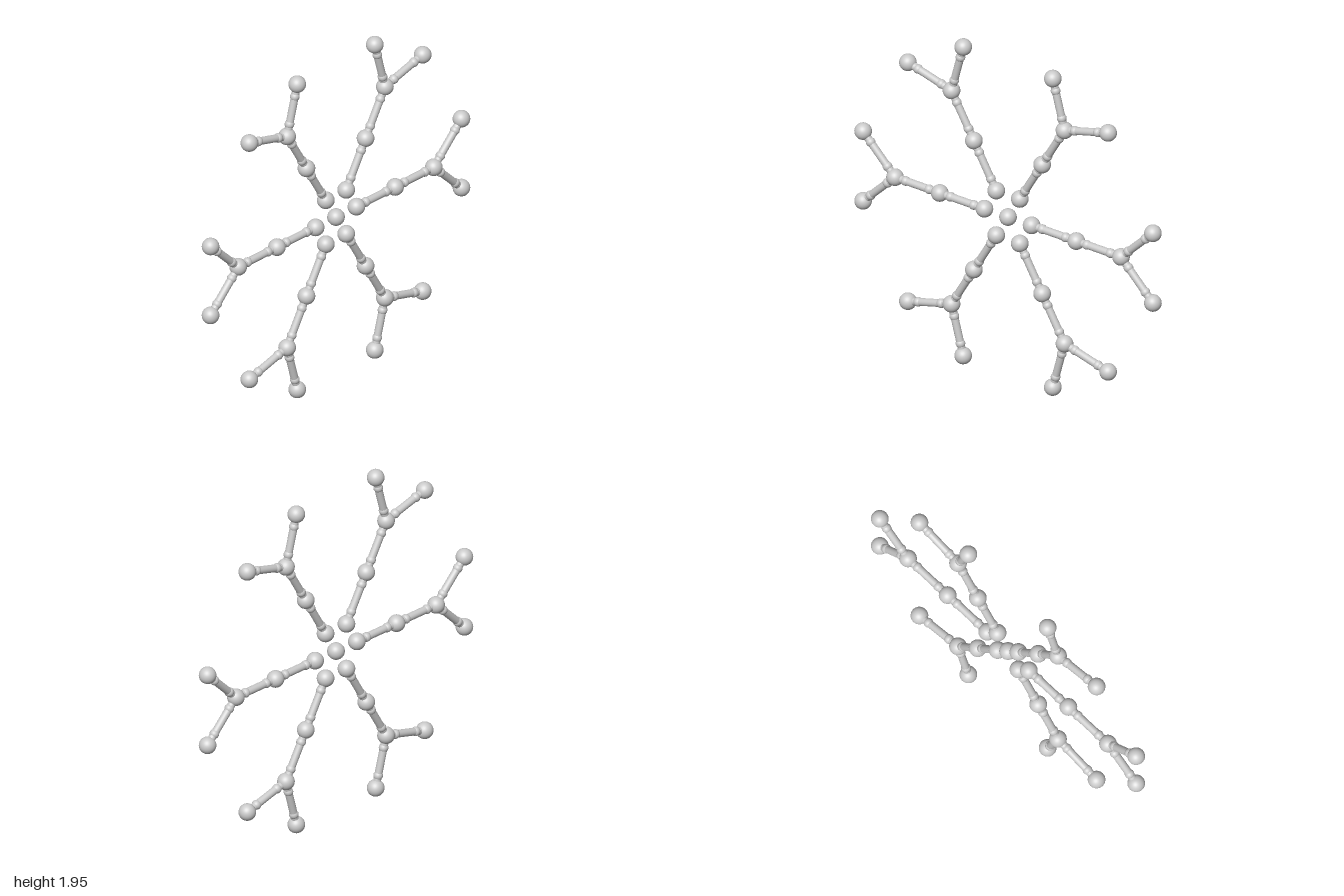
import * as THREE from 'three';

const BALL_R = 0.047, ROD_R = 0.021, JOINT_R = 0.026, JOINT_AT = 0.07;
const CENTRE_Y = 0.977;

export function createModel() {
  const material = new THREE.MeshStandardMaterial({ color: 0xcccccc });
  const ballGeo = new THREE.SphereGeometry(BALL_R, 32, 20);
  const jointGeo = new THREE.SphereGeometry(JOINT_R, 20, 14);

  function sphere(geometry, name, position, parent) {
    const mesh = new THREE.Mesh(geometry, material);
    mesh.name = name;
    mesh.position.copy(position);
    parent.add(mesh);
  }

  // Rod between two balls, with a small rounded collar near each end
  function rod(a, b, parent) {
    const dir = b.clone().sub(a);
    const length = dir.length();
    dir.normalize();
    const geometry = new THREE.CylinderGeometry(ROD_R, ROD_R, length - 0.06, 20);
    const mesh = new THREE.Mesh(geometry, material);
    mesh.name = 'rod';
    mesh.position.lerpVectors(a, b, 0.5);
    mesh.quaternion.setFromUnitVectors(new THREE.Vector3(0, 1, 0), dir);
    parent.add(mesh);
    sphere(jointGeo, 'rodCollar', a.clone().addScaledVector(dir, JOINT_AT), parent);
    sphere(jointGeo, 'rodCollar', b.clone().addScaledVector(dir, -JOINT_AT), parent);
  }

  const model = new THREE.Group();
  model.name = 'snowflake';
  const flake = new THREE.Group();
  flake.name = 'flake';
  flake.position.y = CENTRE_Y;
  model.add(flake);

  sphere(ballGeo, 'centreBall', new THREE.Vector3(), flake);

  // Six arms: inner, middle and fork balls, then two tips at 45 degrees
  const inner = new THREE.Vector3(0.155, 0, 0);
  const middle = new THREE.Vector3(0.449, 0, 0);
  const fork = new THREE.Vector3(0.743, 0, 0);
  for (let i = 0; i < 6; i++) {
    const arm = new THREE.Group();
    arm.name = 'arm';
    arm.rotation.z = (i * Math.PI) / 3;
    flake.add(arm);

    sphere(ballGeo, 'innerBall', inner, arm);
    sphere(ballGeo, 'middleBall', middle, arm);
    sphere(ballGeo, 'forkBall', fork, arm);
    rod(inner, middle, arm);
    rod(middle, fork, arm);
    for (const side of [1, -1]) {
      const tip = new THREE.Vector3(0.953, side * 0.21, 0);
      sphere(ballGeo, 'tipBall', tip, arm);
      rod(fork, tip, arm);
    }
  }
  return model;
}
